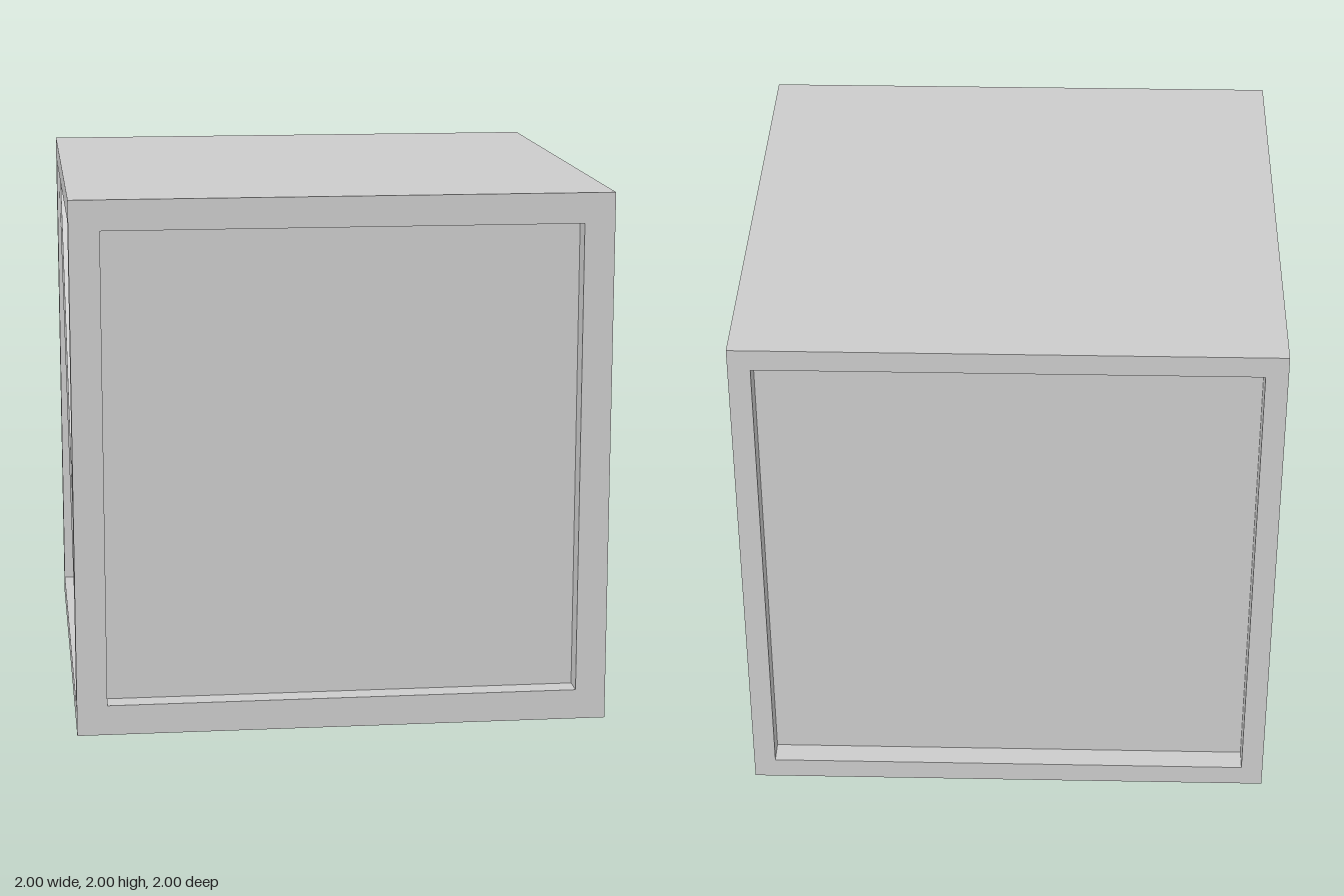
import * as THREE from 'three';
import { mergeGeometries } from 'three/addons/utils/BufferGeometryUtils.js';

const WIDTH = 1.99, SIZE = 2;

// One side of the crate: flat rim, four recess walls and the sunken panel.
// Built facing +z, centred on the origin, with the rim in the plane z = 0.
function recessedSide(width, height, border, depth) {
  const w = width - 2 * border, h = height - 2 * border;
  const rect = (Type, a, b) => new Type([
    new THREE.Vector2(-a / 2, -b / 2), new THREE.Vector2(a / 2, -b / 2),
    new THREE.Vector2(a / 2, b / 2), new THREE.Vector2(-a / 2, b / 2),
  ]);
  const rim = rect(THREE.Shape, width, height);
  rim.holes.push(rect(THREE.Path, w, h));
  const parts = [new THREE.ShapeGeometry(rim), new THREE.PlaneGeometry(w, h).translate(0, 0, -depth)];
  for (let k = 0; k < 4; k++) {
    const [length, distance] = k % 2 ? [h, w / 2] : [w, h / 2];
    parts.push(new THREE.PlaneGeometry(length, depth).rotateX(-Math.PI / 2)
      .translate(0, -distance, -depth / 2).rotateZ(k * Math.PI / 2));
  }
  return mergeGeometries(parts);
}

// Diagonal board clipped to the opening corners; slope is +1 or -1.
function diagonalBrace(half, offset, slope, depth, proud) {
  const c = half - offset;
  const outline = [[-half, -half], [-c, -half], [half, c], [half, half], [c, half], [-half, -c]];
  const shape = new THREE.Shape(outline.map(([u, v]) => new THREE.Vector2(u * slope, v)));
  return new THREE.ExtrudeGeometry(shape, { depth: depth + proud, bevelEnabled: false })
    .translate(0, 0, -depth);
}

export function createModel() {
  const crate = new THREE.Group();
  crate.name = 'crate';
  const material = new THREE.MeshStandardMaterial({ color: 0xcccccc, flatShading: true });

  const add = (name, geometry, turn, distance) => {
    const mesh = new THREE.Mesh(geometry.translate(0, 0, distance).rotateY(turn), material);
    mesh.name = name;
    mesh.position.set(-0.005, SIZE / 2, 0);
    crate.add(mesh);
  };

  // Four framed sides, the two x sides with a diagonal board
  const sides = [
    { name: 'front', turn: 0, border: 0.113, depth: 0.085 },
    { name: 'back', turn: Math.PI, border: 0.082, depth: 0.09 },
    { name: 'left', turn: Math.PI / 2, border: 0.127, depth: 0.07, slope: 1, proud: 0.01 },
    { name: 'right', turn: -Math.PI / 2, border: 0.085, depth: 0.082, slope: -1, proud: -0.01 },
  ];
  for (const { name, turn, border, depth, slope, proud } of sides) {
    const distance = slope ? WIDTH / 2 : SIZE / 2;
    add(name + 'Side', recessedSide(slope ? SIZE : WIDTH, SIZE, border, depth), turn, distance);
    if (slope) add(name + 'Brace', diagonalBrace(SIZE / 2 - border, 0.177, slope, depth, proud), turn, distance);
  }

  // Plain lid and base
  for (const [name, s] of [['lid', -1], ['base', 1]]) {
    add(name, new THREE.PlaneGeometry(WIDTH, SIZE).rotateX(s * Math.PI / 2).translate(0, -s * SIZE / 2, 0), 0, 0);
  }
  return crate;
}
